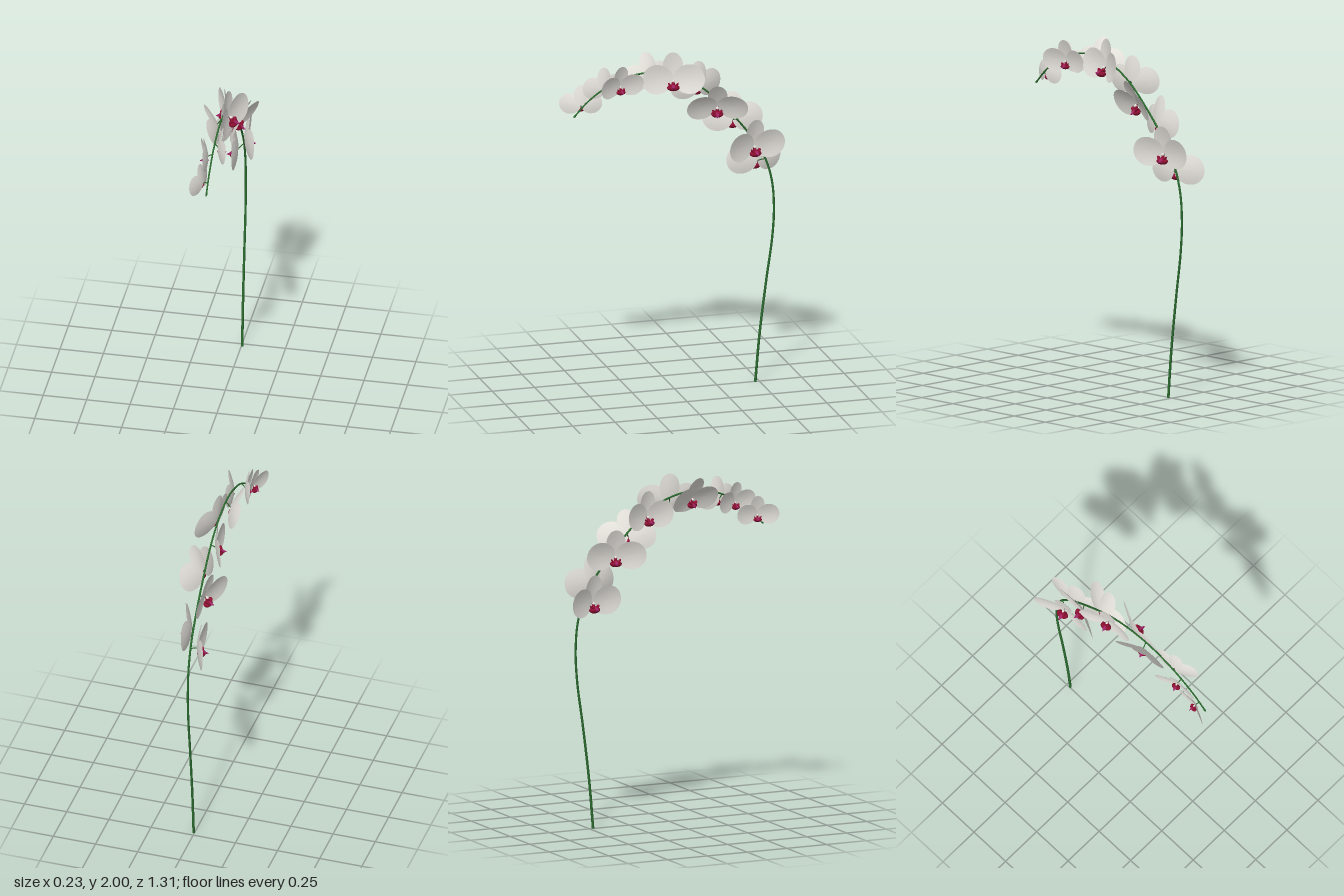
import * as THREE from 'three';

const mat = (name, color, side = THREE.FrontSide) => {
  const m = new THREE.MeshStandardMaterial({ color, side });
  m.name = name;
  return m;
};
const petalWhite = mat('petal white', 0xe4e1db, THREE.DoubleSide);
const stemGreen = mat('stem green', 0x2a6a2e);
const lipCrimson = mat('lip crimson', 0x8e0f32);
const lipMagenta = mat('lip magenta', 0xa02468);

const deg = THREE.MathUtils.degToRad;

// Rounded petal growing along +y from the origin, gently cupped towards +z
function petalGeometry(length, width, cup) {
  const geo = new THREE.RingGeometry(0.001, 1, 30, 4);
  const p = geo.attributes.position;
  for (let i = 0; i < p.count; i++) {
    const x = p.getX(i), y = p.getY(i);
    const t = (y + 1) / 2;
    p.setXYZ(i, x * width / 2 * (0.94 + 0.12 * t), t * length, cup * (x * x * 0.6 + (t - 0.45) ** 2 * 1.2 - 0.25));
  }
  geo.computeVertexNormals();
  return geo;
}

const sidePetal = petalGeometry(0.185, 0.17, 0.02);
const topSepal = petalGeometry(0.17, 0.115, 0.015);
const lipBowl = new THREE.SphereGeometry(1, 14, 10);
const lipPoint = new THREE.ConeGeometry(0.016, 0.035, 8).rotateX(Math.PI / 2);
const neck = new THREE.CylinderGeometry(0.006, 0.012, 0.035, 8);

function add(parent, name, geo, material) {
  const mesh = new THREE.Mesh(geo, material);
  mesh.name = name;
  parent.add(mesh);
  return mesh;
}

// One blossom facing local +z, its centre at the origin
function makeFlower() {
  const g = new THREE.Group();
  for (const s of [-1, 1]) {
    const pivot = new THREE.Group();
    pivot.name = s > 0 ? 'leftPetal' : 'rightPetal';
    pivot.rotation.y = -s * deg(13);
    add(pivot, 'sidePetal', sidePetal, petalWhite).rotation.z = -s * deg(80);
    g.add(pivot);
  }
  const sepal = add(g, 'topSepal', topSepal, petalWhite);
  sepal.position.z = -0.004;
  sepal.rotation.x = deg(5);

  // Lip: bowl, two raised lobes, a pointed front and the column above
  const bowl = add(g, 'lipBowl', lipBowl, lipCrimson);
  bowl.scale.set(0.036, 0.019, 0.024);
  bowl.position.set(0, -0.032, 0.026);
  for (const s of [-1, 1]) {
    const lobe = add(g, 'lipLobe', lipBowl, lipCrimson);
    lobe.scale.set(0.006, 0.018, 0.014);
    lobe.position.set(s * 0.019, -0.018, 0.026);
    lobe.rotation.z = -s * 0.6;
  }
  add(g, 'lipPoint', lipPoint, lipMagenta).position.set(0, -0.028, 0.052);
  const column = add(g, 'column', neck, lipCrimson);
  column.position.set(0, -0.008, 0.014);
  column.rotation.x = -0.4;
  const cap = add(g, 'columnCap', lipBowl, petalWhite);
  cap.scale.set(0.008, 0.008, 0.011);
  cap.position.set(0, 0.004, 0.014);
  return g;
}

// Tube whose radius shrinks steadily from r0 to r1
function taperedTube(curve, segments, r0, r1, sides) {
  const geo = new THREE.TubeGeometry(curve, segments, 1, sides);
  const p = geo.attributes.position, n = geo.attributes.normal;
  for (let i = 0; i < p.count; i++) {
    const t = Math.floor(i / (sides + 1)) / segments;
    const d = THREE.MathUtils.lerp(r0, r1, t) - 1;
    p.setXYZ(i, p.getX(i) + n.getX(i) * d, p.getY(i) + n.getY(i) * d, p.getZ(i) + n.getZ(i) * d);
  }
  return geo;
}

export function createModel() {
  const model = new THREE.Group();
  model.name = 'orchidSpray';

  // Arching stem, given as [z, y]
  const curve = new THREE.CatmullRomCurve3([
    [-0.475, 0], [-0.5, 0.28], [-0.54, 0.6], [-0.575, 0.85], [-0.585, 1.03],
    [-0.57, 1.2], [-0.52, 1.35], [-0.42, 1.5], [-0.3, 1.64], [-0.15, 1.78],
    [0, 1.86], [0.17, 1.89], [0.35, 1.85], [0.5, 1.76], [0.59, 1.67],
  ].map(([z, y]) => new THREE.Vector3(0.005, y, z)));
  add(model, 'stem', taperedTube(curve, 90, 0.0075, 0.0045, 10), stemGreen);
  const tip = add(model, 'stemTip', lipBowl, stemGreen);
  tip.scale.set(0.006, 0.014, 0.006);
  tip.position.set(0.005, 1.672, 0.588);
  tip.rotation.x = 2.4;

  // Flowers: side of the stem, z, y, width, which petal swings forward, forward lean in degrees
  const flowers = [
    [-1, 0.545, 1.72, 0.24, 1, 8],
    [-1, 0.4, 1.805, 0.255, -1, 8],
    [1, 0.33, 1.825, 0.27, 1, 9],
    [-1, 0.13, 1.85, 0.31, -1, 26],
    [1, 0.015, 1.83, 0.35, -1, -7],
    [-1, -0.15, 1.765, 0.32, -1, 0],
    [1, -0.245, 1.655, 0.34, -1, 24],
    [-1, -0.35, 1.555, 0.34, 1, 8],
    [1, -0.46, 1.4, 0.35, 1, 6],
    [-1, -0.495, 1.3, 0.345, -1, 4],
  ];
  const samples = curve.getSpacedPoints(300);
  for (const [side, z, y, width, forward, lean] of flowers) {
    const flower = makeFlower();
    flower.name = 'flower';
    flower.scale.setScalar(width / 0.35);
    flower.position.set(side * 0.022, y, z);
    flower.rotation.order = 'YXZ';
    flower.rotation.set(deg(lean), side * (Math.PI / 2 + forward * deg(13)), 0);
    model.add(flower);

    // Short stalk to the nearest point of the stem
    const root = samples.reduce((a, b) =>
      a.distanceTo(flower.position) < b.distanceTo(flower.position) ? a : b);
    const mid = root.clone().lerp(flower.position, 0.5);
    mid.y += 0.006;
    const stalk = new THREE.QuadraticBezierCurve3(root, mid, flower.position.clone());
    add(model, 'flowerStalk', new THREE.TubeGeometry(stalk, 6, 0.003, 6), stemGreen);
  }
  return model;
}
